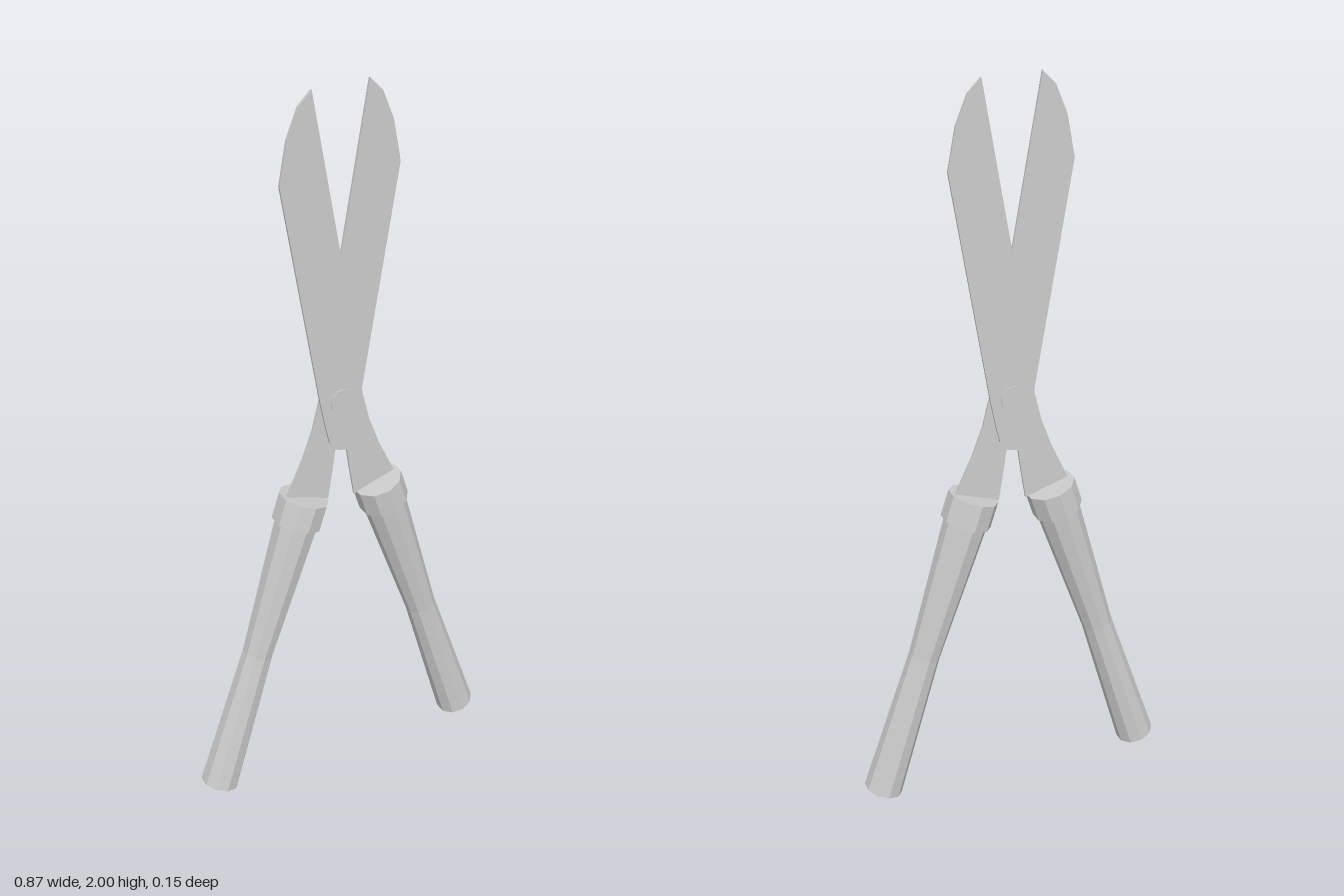
import * as THREE from 'three';

const steel = new THREE.MeshStandardMaterial({ color: 0xcccccc, flatShading: true });
steel.name = 'light grey';

const TILT = 0.311;   // how far each handle splays outward
const SIDES = 10;

function part(name, geometry) {
  const mesh = new THREE.Mesh(geometry, steel);
  mesh.name = name;
  return mesh;
}

// Ten-sided turned solid, from [radius, height] points listed bottom to top
function turned(points) {
  return new THREE.LatheGeometry(points.map(([r, y]) => new THREE.Vector2(r, y)), SIDES);
}

// One half of the shears: blade leaning to -x, handle on +x
function createHalf() {
  const half = new THREE.Group();

  // Blade and tang cut from a single thin plate
  const outline = [
    [-0.08, 2.0], [-0.115, 1.965], [-0.146, 1.89], [-0.167, 1.78],
    [-0.063, 1.17], [-0.047, 1.09], [-0.036, 1.045], [-0.014, 1.019], [0.014, 1.014],
    [0.02, 0.97], [0.036, 0.87], [0.15, 0.87], [0.162, 0.9],
    [0.11, 1.01], [0.08, 1.09], [0.06, 1.17], [0.0, 1.55],
  ].map(([x, y]) => new THREE.Vector2(x, y));
  const plate = new THREE.ExtrudeGeometry(new THREE.Shape(outline), { depth: 0.007, bevelEnabled: false });
  plate.translate(0, 0, 0.0025);
  half.add(part('blade', plate));

  // Handle and collar share one axis, with the origin at the collar top
  const grip = new THREE.Group();
  grip.name = 'grip';
  grip.position.set(0.106, 0.893, 0.008);
  grip.rotation.z = TILT;
  grip.add(part('handle', turned([[0, -0.921], [0.054, -0.921], [0.043, -0.486], [0.06, -0.07], [0, -0.07]])));
  grip.add(part('collar', turned([[0, -0.075], [0.069, -0.075], [0.069, 0], [0, 0]])));
  half.add(grip);
  return half;
}

export function createModel() {
  const model = new THREE.Group();
  model.name = 'gardenShears';

  // The two halves match under a half turn about the upright axis
  ['frontHalf', 'backHalf'].forEach((name, i) => {
    const half = createHalf();
    half.name = name;
    half.rotation.y = i * Math.PI;
    model.add(half);
  });

  // Pivot bolt through both blades
  const bolt = part('pivotBolt', new THREE.CylinderGeometry(0.034, 0.034, 0.025, 12));
  bolt.rotation.x = Math.PI / 2;
  bolt.position.set(0, 1.165, 0);
  model.add(bolt);
  return model;
}
